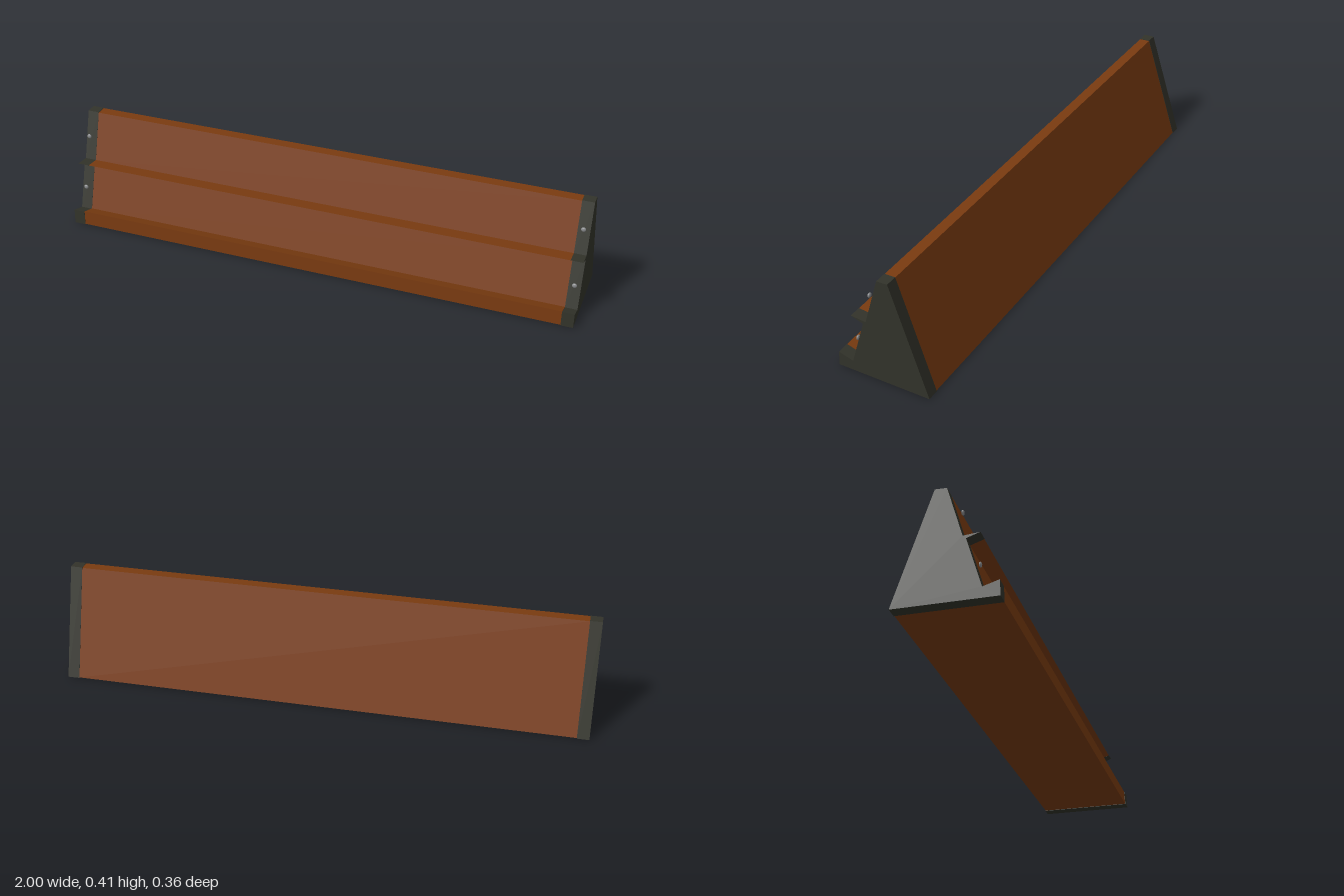
import * as THREE from 'three';

// Side outline as [z, y]: toe ledge, lower slope, thin rail, upper slope, ridge, back
const PROFILE = [
  [0.179, 0], [0.176, 0.056], [0.12, 0.039], [0.065, 0.217], [0.112, 0.233],
  [0.054, 0.228], [-0.002, 0.413], [-0.043, 0.414], [-0.179, 0],
];

export function createModel() {
  const wood = new THREE.MeshStandardMaterial({ name: 'brown wood', color: 0x7a3b10 });
  const metal = new THREE.MeshStandardMaterial({ name: 'dark metal', color: 0x32332a });
  const steel = new THREE.MeshStandardMaterial({ name: 'grey steel', color: 0x8c8e90 });
  const model = new THREE.Group();
  model.name = 'barrier';

  // Extrudes the outline along x, centred on the given x
  function slab(name, x, length, scale, material) {
    const shape = new THREE.Shape(PROFILE.map(([z, y]) =>
      new THREE.Vector2(-z * scale, 0.2 + (y - 0.2) * scale)));
    const geometry = new THREE.ExtrudeGeometry(shape, { depth: length, bevelEnabled: false });
    geometry.translate(0, 0, -length / 2).rotateY(Math.PI / 2);
    const mesh = new THREE.Mesh(geometry, material);
    mesh.name = name;
    mesh.position.x = x;
    model.add(mesh);
  }

  // Long wooden body, slightly inside the end caps
  slab('body', 0, 1.91, 0.992, wood);

  for (const side of [-1, 1]) {
    const label = side > 0 ? 'left' : 'right';
    // Metal end cap
    slab(label + 'EndCap', side * 0.9775, 0.045, 1, metal);

    // Two flattened bolt heads in front of each cap
    for (const [y, z] of [[0.326, 0.046], [0.129, 0.107]]) {
      const bolt = new THREE.Mesh(new THREE.SphereGeometry(0.009, 16, 12), steel);
      bolt.name = label + 'Bolt';
      bolt.scale.z = 0.55;
      bolt.position.set(side * 0.978, y, z);
      model.add(bolt);
    }
  }
  return model;
}
